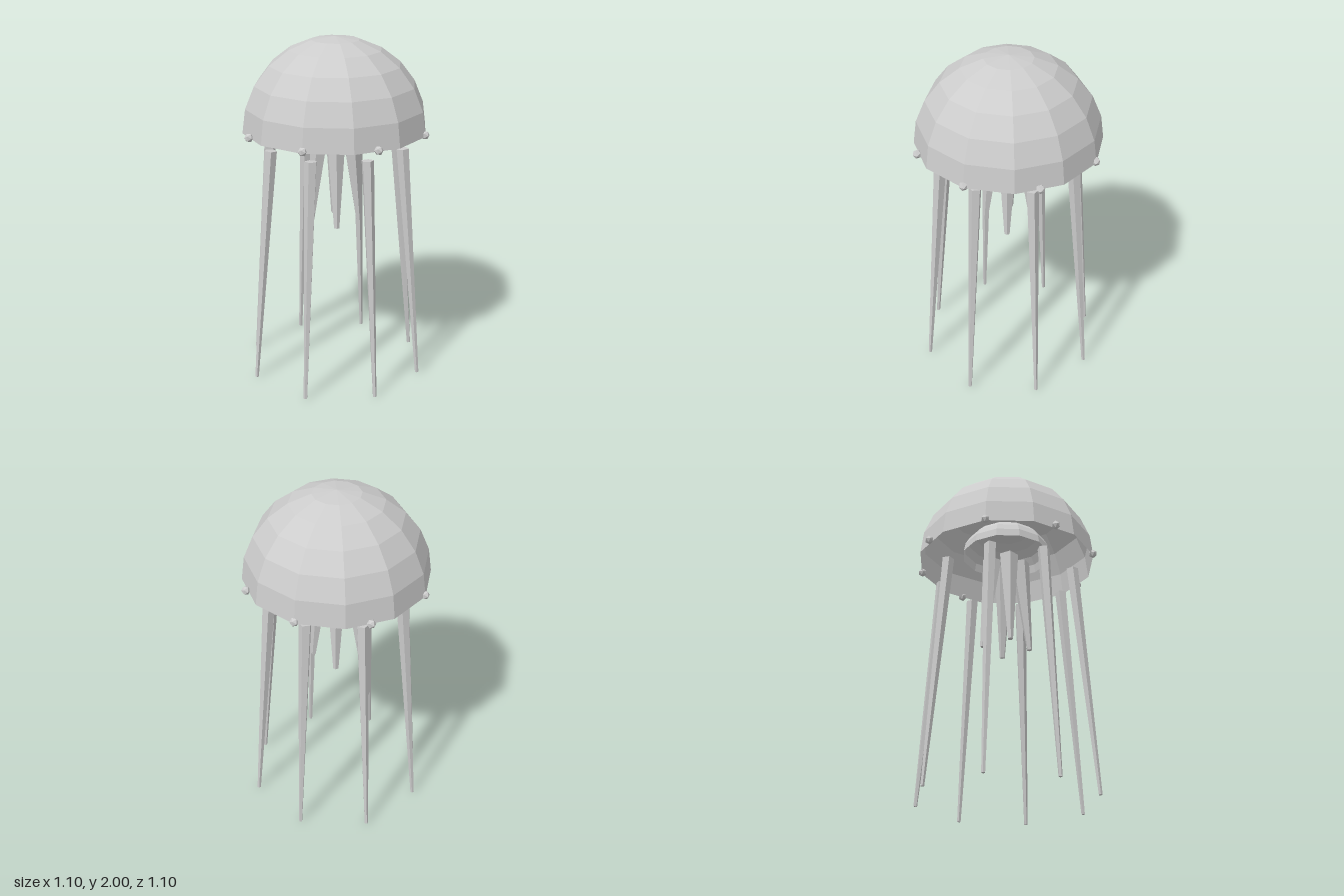
import * as THREE from 'three';

export function createModel() {
  const model = new THREE.Group();
  const paleGrey = new THREE.MeshStandardMaterial({ color: 0xcccccc, flatShading: true, side: THREE.DoubleSide });
  paleGrey.name = 'paleGrey';

  const add = (name, geometry, parent = model) => {
    const mesh = new THREE.Mesh(geometry, paleGrey);
    mesh.name = name;
    parent.add(mesh);
    return mesh;
  };

  // Open faceted dome, optionally flattened
  const dome = (name, radius, height, y) => {
    const mesh = add(name, new THREE.SphereGeometry(radius, 12, 6, 0, Math.PI * 2, 0, Math.PI / 2));
    mesh.scale.y = height / radius;
    mesh.position.y = y;
  };
  dome('bell', 0.53, 0.53, 1.47);
  dome('innerBell', 0.265, 0.19, 1.525);

  // Tapered limb leaning outward towards its tip, in the radial plane at the given angle
  const limb = (name, angle, top, bottom, sides) => {
    const spoke = new THREE.Group();
    spoke.name = name;
    spoke.rotation.y = angle;
    const dz = bottom.out - top.out, dy = top.y - bottom.y;
    const mesh = add(name + 'Taper', new THREE.CylinderGeometry(top.r, bottom.r, Math.hypot(dz, dy), sides), spoke);
    mesh.position.set(0, (top.y + bottom.y) / 2, (top.out + bottom.out) / 2);
    mesh.rotation.x = -Math.atan2(dz, dy);
    model.add(spoke);
  };

  // Eight long tentacles, each with a rim bead above it
  for (let i = 0; i < 8; i++) {
    const a = (i * Math.PI) / 4;
    limb('tentacle', a, { out: 0.4, y: 1.39, r: 0.036 }, { out: 0.518, y: 0.005, r: 0.011 }, 5);
    const bead = add('rimBead', new THREE.IcosahedronGeometry(0.026, 0));
    bead.position.set(Math.sin(a) * 0.527, 1.48, Math.cos(a) * 0.527);
  }

  // Four short mouth arms under the centre
  for (let i = 0; i < 4; i++) {
    limb('mouthArm', Math.PI / 8 + (i * Math.PI) / 2,
      { out: 0.083, y: 1.485, r: 0.058 }, { out: 0.138, y: 0.915, r: 0.016 }, 5);
  }
  return model;
}
